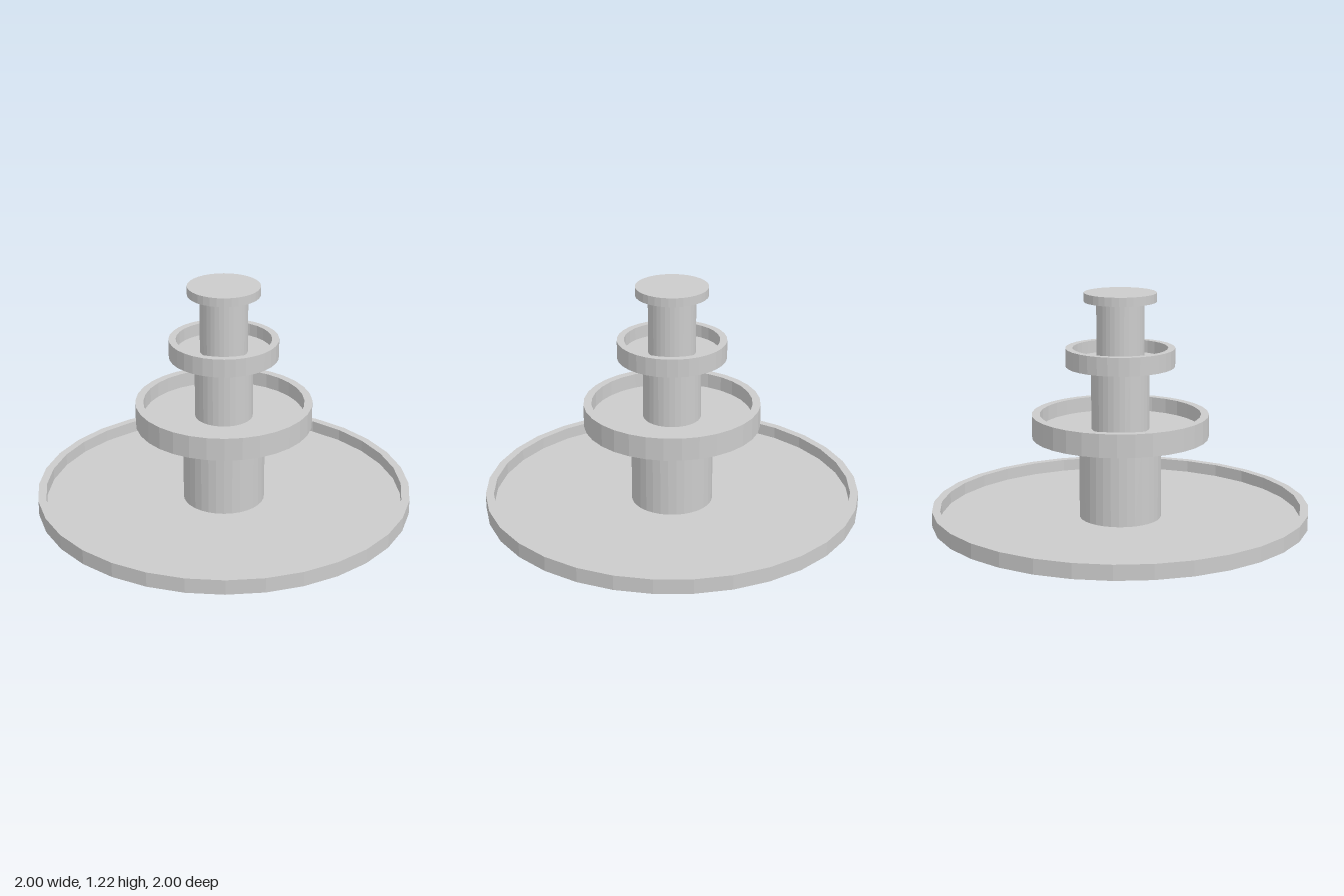
import * as THREE from 'three';

const SIDES = 32;
const material = new THREE.MeshStandardMaterial({ color: 0xcccccc, flatShading: true });

// Open dish: solid floor with a raised rim
function dish(name, outer, inner, bottom, floor, top) {
  const profile = [[0, bottom], [outer, bottom], [outer, top], [inner, top], [inner, floor], [0, floor]]
    .map(([r, y]) => new THREE.Vector2(r, y));
  const mesh = new THREE.Mesh(new THREE.LatheGeometry(profile, SIDES), material);
  mesh.name = name;
  return mesh;
}

// Solid round part between two heights
function disc(name, radius, bottom, top) {
  const mesh = new THREE.Mesh(new THREE.CylinderGeometry(radius, radius, top - bottom, SIDES), material);
  mesh.position.y = (bottom + top) / 2;
  mesh.name = name;
  return mesh;
}

export function createModel() {
  const fountain = new THREE.Group();
  fountain.name = 'tieredFountain';
  fountain.add(
    dish('basePool', 1, 0.957, 0, 0.015, 0.08),
    disc('lowerColumn', 0.217, 0.015, 0.455),
    dish('lowerBowl', 0.467, 0.425, 0.453, 0.495, 0.575),
    disc('middleColumn', 0.153, 0.495, 0.832),
    dish('upperBowl', 0.287, 0.25, 0.83, 0.86, 0.927),
    disc('upperColumn', 0.125, 0.86, 1.172),
    disc('topCap', 0.19, 1.17, 1.217),
  );
  return fountain;
}
